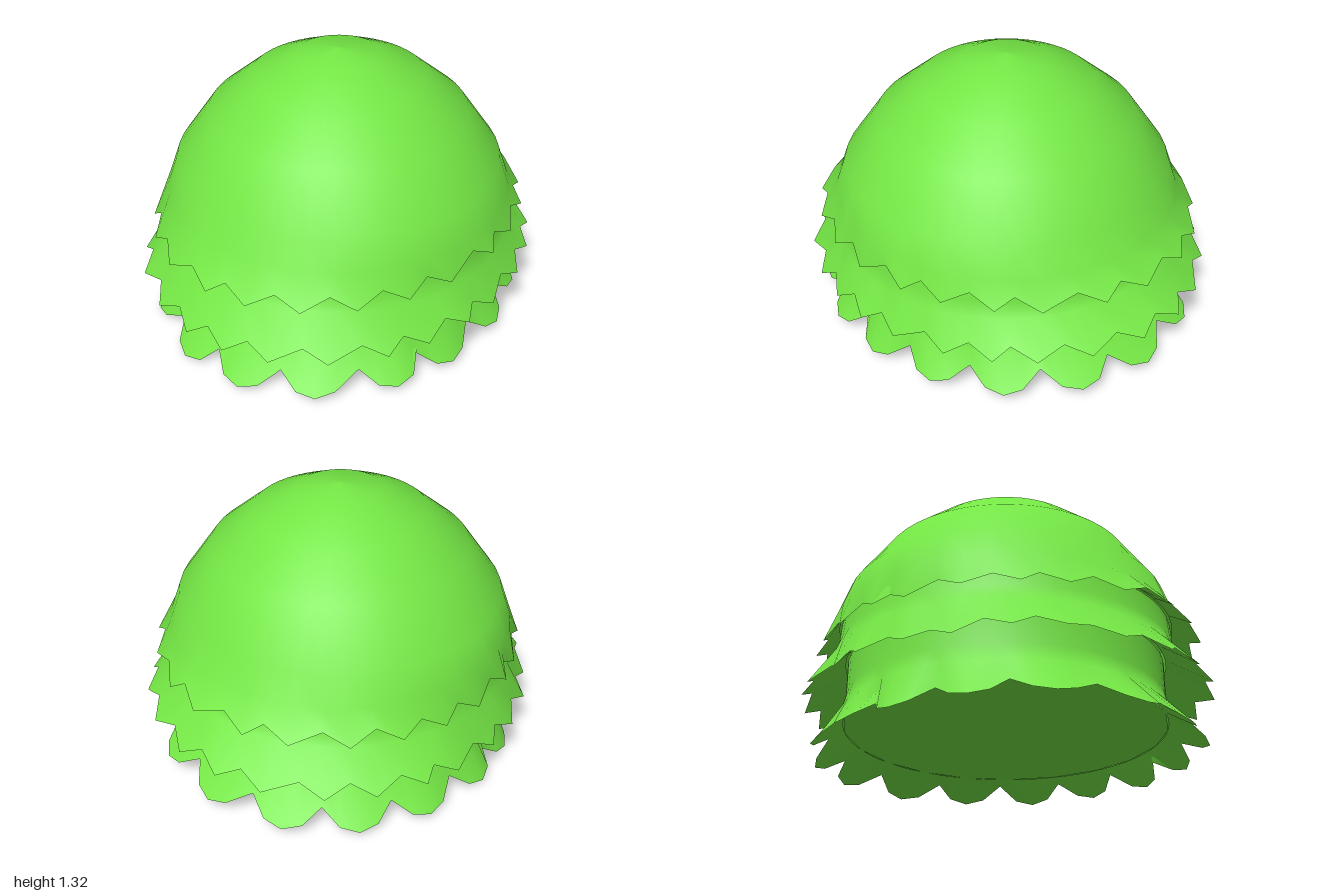
import * as THREE from 'three';

const green = new THREE.MeshStandardMaterial({ color: 0x74e644, side: THREE.DoubleSide });

// Small seeded wobble in -1..1
const wobble = (n) => {
  const s = Math.sin(n * 12.9898 + 4.1) * 43758.5453;
  return (s - Math.floor(s)) * 2 - 1;
};

// Closed surface through rings ordered downwards; ringPoint(row, column) gives [x, y, z]
function loft(rows, cols, ringPoint, name) {
  const pos = [], index = [];
  for (let i = 0; i < rows; i++) {
    for (let j = 0; j < cols; j++) {
      pos.push(...ringPoint(i, j));
      if (i === rows - 1) continue;
      const a = i * cols + j, c = i * cols + (j + 1) % cols;
      index.push(a, a + cols, c + cols, a, c + cols, c);
    }
  }
  const geo = new THREE.BufferGeometry();
  geo.setAttribute('position', new THREE.Float32BufferAttribute(pos, 3));
  geo.setIndex(index);
  geo.computeVertexNormals();
  const mesh = new THREE.Mesh(geo, green);
  mesh.name = name;
  return mesh;
}

// One leaf tier: smooth rings [radius, y], then a toothed hem, then an underside rising inside
function leafTier({ name, rings, teeth, steps, phase, valley, tip, tuck, seed }) {
  const cols = teeth * steps;
  const angle = (j) => ((j + phase * steps) / cols) * Math.PI * 2;
  const ring = ([r, y], j) => [Math.sin(angle(j)) * r, y, Math.cos(angle(j)) * r];
  const hem = (j) => {
    const tooth = Math.floor(j / steps);
    const t = Math.pow(Math.sin((j % steps) / steps * Math.PI), 0.8);
    const n = wobble(tooth + seed);
    const a = angle(j) + 0.035 * wobble(tooth + seed + 50);
    // hem is oval along a diagonal and tilts up towards the back left
    const oval = 1 + 0.045 * Math.cos(2 * (a + 0.42));
    const r = (valley[0] + (tip[0] - valley[0]) * t) * oval + 0.008 * n;
    const y = valley[1] + (tip[1] - valley[1]) * t + 0.01 * n;
    return [Math.sin(a) * r, y + 0.025 * Math.sin(a) - 0.01 * Math.cos(a), Math.cos(a) * r];
  };
  const group = new THREE.Group();
  group.name = name;
  group.add(loft(rings.length + 1, cols,
    (i, j) => (i < rings.length ? ring(rings[i], j) : hem(j)), name + 'Outside'));
  group.add(loft(2, cols, (i, j) => (i ? ring(tuck, j) : hem(j)), name + 'Underside'));
  return group;
}

export function createModel() {
  const model = new THREE.Group();
  model.name = 'treeCrown';

  // Dome with the top row of leaf tips
  model.add(leafTier({
    name: 'domeTier', teeth: 24, steps: 2, phase: 0, seed: 3,
    rings: [[0.001, 1.33], [0.2, 1.3], [0.41, 1.2], [0.61, 1.035], [0.77, 0.81], [0.82, 0.67]],
    valley: [0.865, 0.583], tip: [0.905, 0.528], tuck: [0.8, 0.64],
  }));

  // Widest middle tier, starting inside the dome
  model.add(leafTier({
    name: 'middleTier', teeth: 26, steps: 2, phase: 0.5, seed: 31,
    rings: [[0.79, 0.64], [0.8, 0.53], [0.825, 0.46]],
    valley: [0.912, 0.34], tip: [0.96, 0.29], tuck: [0.76, 0.46],
  }));

  // Bottom tier with broad rounded scallops, starting inside the middle tier
  model.add(leafTier({
    name: 'bottomTier', teeth: 16, steps: 4, phase: 0, seed: 77,
    rings: [[0.75, 0.46], [0.75, 0.29], [0.77, 0.21]],
    valley: [0.82, 0.118], tip: [0.908, 0.042], tuck: [0.755, 0.17],
  }));

  // Flat base closing the crown from below
  const base = new THREE.Mesh(new THREE.CircleGeometry(0.757, 20), green);
  base.name = 'base';
  base.rotation.x = Math.PI / 2;
  base.position.y = 0.17;
  model.add(base);

  return model;
}
